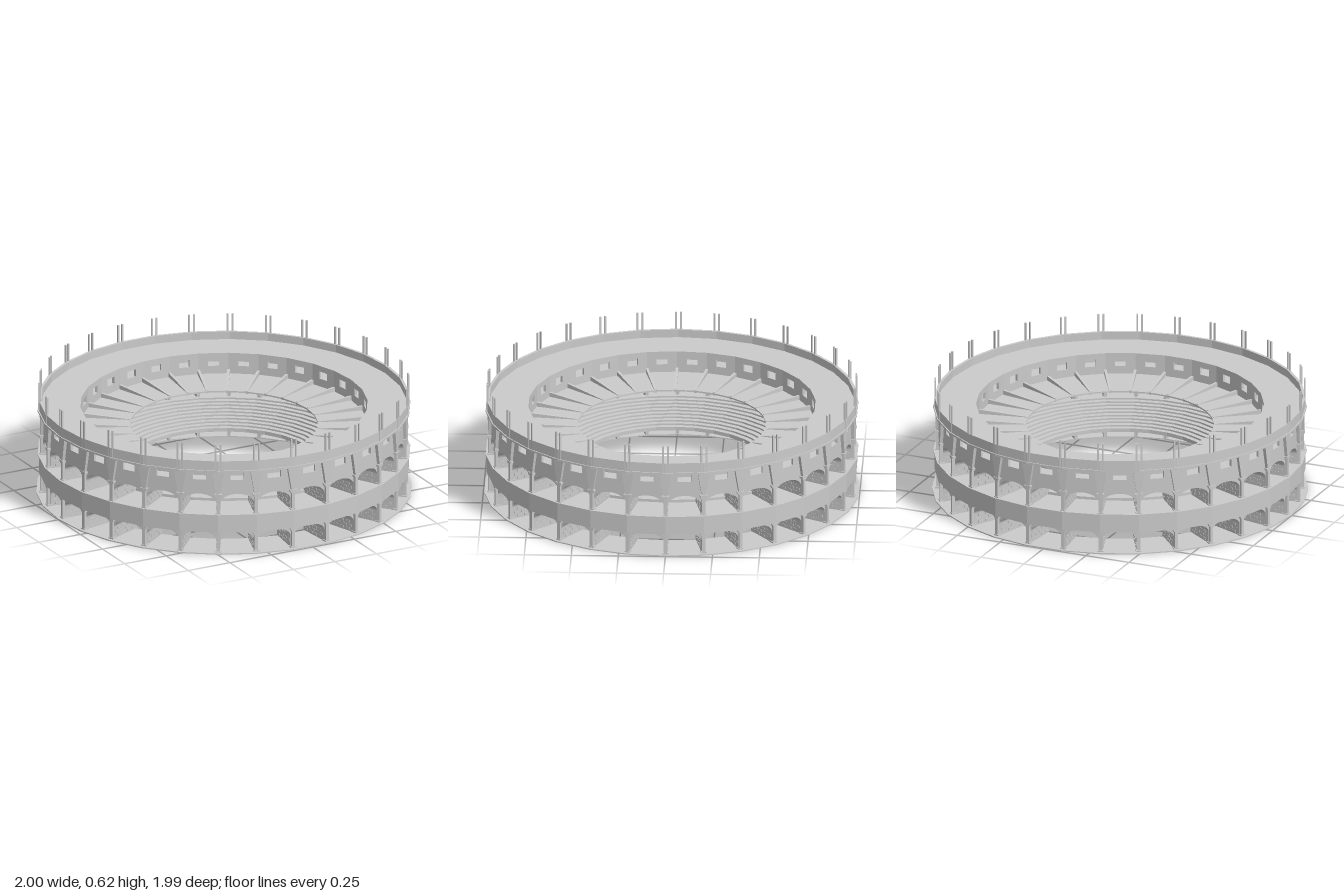
import * as THREE from 'three';
import { mergeGeometries, toCreasedNormals } from 'three/addons/utils/BufferGeometryUtils.js';

const BAYS = 30;
const STEP = (Math.PI * 2) / BAYS;
const COS = Math.cos(STEP / 2);
const TAN = Math.tan(STEP / 2);
const R_IN = 0.765;  // corner radius of the inner wall
const R_OUT = 0.965; // corner radius of the recessed outer wall

const grey = new THREE.MeshStandardMaterial({ color: 0xcccccc });
const flat = (g) => (g.index ? g.toNonIndexed() : g);

export function createModel() {
  const model = new THREE.Group();
  model.name = 'amphitheatre';

  const add = (name, geometry) => {
    const mesh = new THREE.Mesh(toCreasedNormals(flat(geometry), 0.18), grey);
    mesh.name = name;
    model.add(mesh);
  };

  // Repeats a piece facing +z around the ring; offset 0.5 puts it on the corners
  const repeat = (name, pieces, offset = 0) => {
    const piece = mergeGeometries(pieces.map(flat));
    const copies = [];
    for (let i = 0; i < BAYS; i++) copies.push(piece.clone().rotateY((i + offset) * STEP));
    add(name, mergeGeometries(copies));
  };

  // Thirty-sided ring from a counter-clockwise (radius, height) profile
  const ring = (name, profile) => {
    const pts = [...profile, profile[0]].map(([r, y]) => new THREE.Vector2(r, y));
    // duplicated points keep the profile corners sharp
    add(name, new THREE.LatheGeometry(pts, BAYS, STEP / 2));
  };
  const band = (name, r0, r1, y0, y1) => ring(name, [[r0, y0], [r1, y0], [r1, y1], [r0, y1]]);

  // Narrows a piece towards the centre so neighbouring bays meet
  const taper = (g, rOuter) => {
    const p = g.attributes.position;
    for (let i = 0; i < p.count; i++) p.setX(i, p.getX(i) * p.getZ(i) / (rOuter * COS));
    return g;
  };

  const box = (w, h, d, x, y, z) => new THREE.BoxGeometry(w, h, d).translate(x, y, z);

  const bay = (shape, r0, r1) => taper(
    new THREE.ExtrudeGeometry(shape, { depth: (r1 - r0) * COS, bevelEnabled: false, curveSegments: 14 })
      .translate(0, 0, r0 * COS), r1);

  // Vaulted passage through one bay, with raised bricks on its side walls
  const archedBay = (y0, spring, crown, y1) => {
    const hw = R_OUT * COS * TAN;
    const open = hw - 0.01;
    const s = new THREE.Shape();
    s.moveTo(-hw, y0);
    s.lineTo(-open, y0);
    s.lineTo(-open, spring);
    s.absellipse(0, spring, open, crown - spring, Math.PI, 0, true);
    s.lineTo(open, y0);
    s.lineTo(hw, y0);
    s.lineTo(hw, y1);
    s.lineTo(-hw, y1);
    const bricks = [];
    for (const side of [-1, 1]) {
      for (let row = 0; row < 3; row++) {
        for (let c = 0; c < 4; c++) {
          const z = 0.79 + c * 0.042 + (row % 2) * 0.018;
          bricks.push(taper(flat(box(0.004, 0.012, 0.028, side * open, y0 + 0.015 + row * 0.02, z)), R_OUT));
        }
      }
    }
    return [bay(s, R_IN, R_OUT), ...bricks];
  };

  // Wall panel of the attic with a window
  const windowBay = (r0, r1, y0, y1) => {
    const hw = r1 * COS * TAN;
    const s = new THREE.Shape([[-hw, y0], [hw, y0], [hw, y1], [-hw, y1]].map((p) => new THREE.Vector2(...p)));
    const w = hw * 0.36;
    s.holes.push(new THREE.Path([[-w, 0.41], [-w, 0.45], [w, 0.45], [w, 0.41]].map((p) => new THREE.Vector2(...p))));
    return bay(s, r0, r1);
  };

  // Ground ring and the two arcades
  band('groundRing', 0.775, 1.0, 0, 0.006);
  repeat('lowerArcade', archedBay(0.005, 0.07, 0.117, 0.13));
  band('middleFloor', R_IN, 0.97, 0.12, 0.22);
  band('middleBand', 0.965, 0.987, 0.12, 0.218);
  band('middleLedge', 0.96, 0.993, 0.216, 0.222);
  repeat('upperArcade', archedBay(0.22, 0.277, 0.33, 0.345));

  // Attic gallery between two windowed walls
  band('atticFloor', R_IN, R_OUT, 0.34, 0.365);
  repeat('atticOuterWall', [windowBay(0.95, R_OUT, 0.34, 0.475)]);
  repeat('atticInnerWall', [windowBay(R_IN, 0.78, 0.34, 0.475)]);
  band('topDeck', R_IN, 0.985, 0.468, 0.482);
  band('cornice', 0.96, 0.993, 0.462, 0.472);
  band('parapet', 0.972, 0.987, 0.47, 0.525);

  // Columns, flared brackets and mast pairs on every corner
  const column = (y0, y1) => [
    box(0.018, y1 - y0, 0.022, 0, (y0 + y1) / 2, 0.968),
    box(0.03, 0.008, 0.03, 0, y0 + 0.004, 0.967),
    box(0.03, 0.01, 0.028, 0, y1 - 0.012, 0.968),
    box(0.04, 0.008, 0.03, 0, y1 - 0.004, 0.968),
  ];
  repeat('lowerColumns', column(0.005, 0.122), 0.5);
  repeat('upperColumns', column(0.22, 0.335), 0.5);

  const flare = new THREE.Shape([[-0.01, 0.33], [0.01, 0.33], [0.032, 0.463], [-0.032, 0.463]]
    .map((p) => new THREE.Vector2(...p)));
  repeat('brackets', [
    new THREE.ExtrudeGeometry(flare, { depth: 0.03, bevelEnabled: false }).translate(0, 0, 0.95),
  ], 0.5);
  repeat('masts', [-1, 1].map((s) => box(0.009, 0.155, 0.009, s * 0.013, 0.5455, 0.982)), 0.5);

  // Flat roof over the stands, with tapering radial ribs
  band('standRoof', 0.5, 0.77, 0.358, 0.366);
  const rib = new THREE.Shape([[0.505, 0.352], [0.77, 0.345], [0.77, 0.39], [0.505, 0.369]]
    .map((p) => new THREE.Vector2(...p)));
  repeat('roofRibs', [
    new THREE.ExtrudeGeometry(rib, { depth: 0.014, bevelEnabled: false })
      .translate(0, 0, -0.007).rotateY(-Math.PI / 2),
  ], 0.5);

  // Stepped seating, stepped on its underside too
  const rows = 10;
  const r0 = 0.5, r1 = 0.775, y0 = 0.155, y1 = 0.235;
  const top = [], under = [];
  for (let i = 0; i < rows; i++) {
    const ra = r0 + ((r1 - r0) * i) / rows;
    const rb = r0 + ((r1 - r0) * (i + 1)) / rows;
    const y = y0 + ((y1 - y0) * i) / (rows - 1);
    top.push([ra, y], [rb, y]);
    under.push([ra, y - 0.02], [rb, y - 0.02]);
  }
  ring('seatingSteps', [...under, ...top.reverse()]);

  return model;
}
